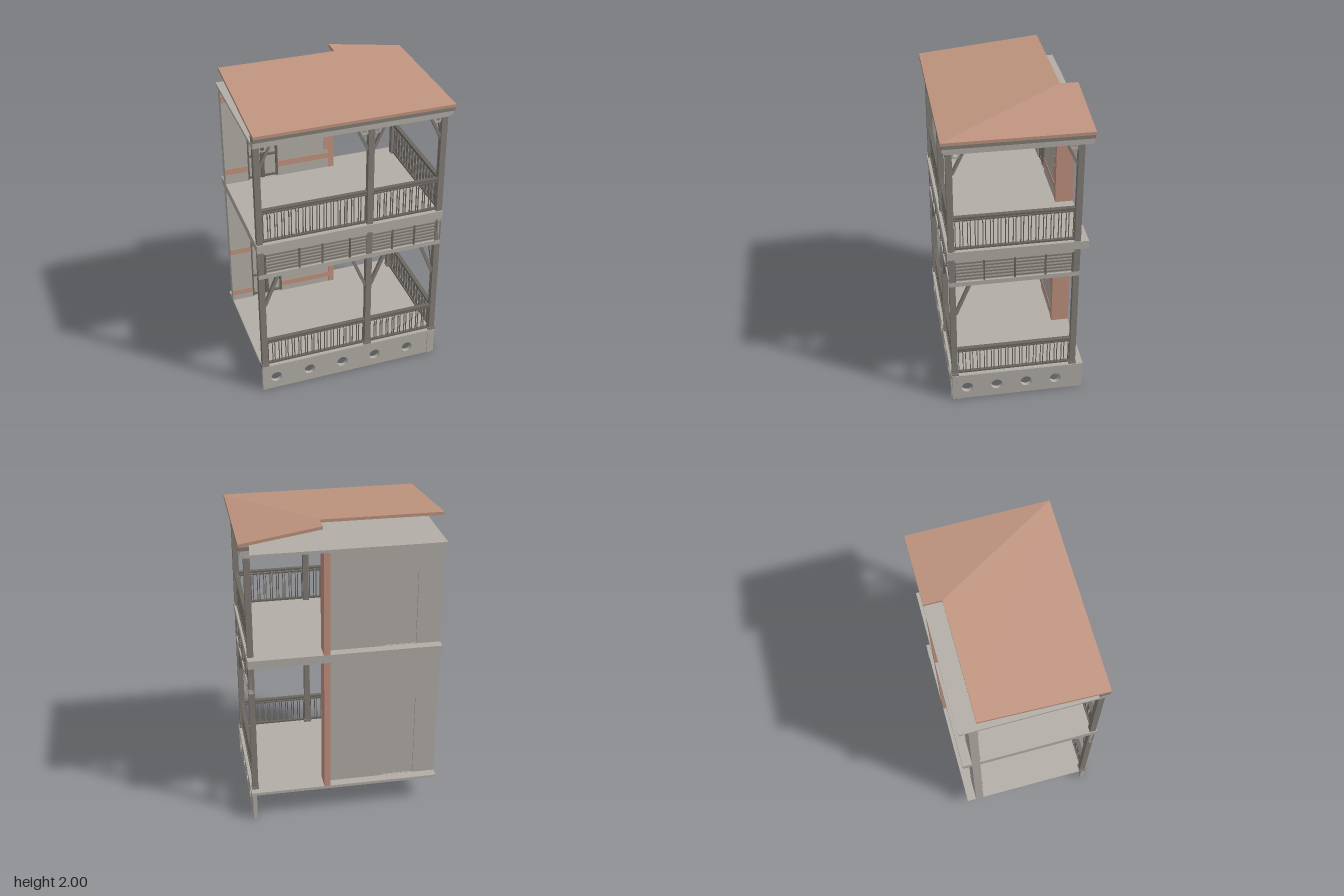
import * as THREE from 'three';

export function createModel() {
  const root = new THREE.Group();
  root.name = 'cornerPorch';
  const mat = (name, color, side = THREE.FrontSide) => {
    const m = new THREE.MeshStandardMaterial({ color, side });
    m.name = name;
    return m;
  };
  const stone = mat('stone', 0xb3aea7);
  const wood = mat('weatheredWood', 0x837d76);
  const dark = mat('railWood', 0x6c6760);
  const brick = mat('brick', 0xc29380);
  const tile = mat('roofTile', 0xbf947f, THREE.DoubleSide);

  const add = (parent, name, geo, m) => {
    const mesh = new THREE.Mesh(geo, m);
    mesh.name = name;
    parent.add(mesh);
    return mesh;
  };
  const box = (parent, name, m, x0, x1, y0, y1, z0, z1) => {
    const mesh = add(parent, name, new THREE.BoxGeometry(x1 - x0, y1 - y0, z1 - z0), m);
    mesh.position.set((x0 + x1) / 2, (y0 + y1) / 2, (z0 + z1) / 2);
    return mesh;
  };
  const rect = (s, x0, x1, y0, y1) =>
    s.moveTo(x0, y0).lineTo(x1, y0).lineTo(x1, y1).lineTo(x0, y1).closePath();
  const extrude = (shape, depth) =>
    new THREE.ExtrudeGeometry(shape, { depth, bevelEnabled: false, curveSegments: 12 });

  // Floors and ceiling
  box(root, 'groundFloor', stone, -0.625, 0.595, 0.178, 0.197, -0.445, 0.42);
  box(root, 'upperFloor', stone, -0.625, 0.595, 1.105, 1.16, -0.445, 0.425);
  box(root, 'ceiling', stone, -0.625, 0.59, 1.832, 1.85, -0.445, 0.42);

  // Diagonal strut between two points in the plane of a facade
  const strut = (parent, x0, y0, x1, y1, w) => {
    const s = box(parent, 'brace', wood, -w / 2, w / 2, 0, Math.hypot(x1 - x0, y1 - y0), -0.011, 0.011);
    s.position.set((x0 + x1) / 2, (y0 + y1) / 2, 0);
    s.rotation.z = -Math.atan2(x1 - x0, y1 - y0);
  };

  // Railing with arched pairs of balusters, h high above the floor y
  const archGeo = new THREE.TorusGeometry(1, 0.18, 4, 8, Math.PI);
  const railing = (parent, u0, u1, y, h) => {
    const g = new THREE.Group();
    g.name = 'railing';
    parent.add(g);
    box(g, 'handrail', dark, u0, u1, y + h - 0.013, y + h, -0.014, 0.014);
    box(g, 'upperRail', dark, u0, u1, y + h - 0.031, y + h - 0.023, -0.006, 0.006);
    box(g, 'lowerRail', dark, u0, u1, y + 0.008, y + 0.02, -0.009, 0.009);
    const n = Math.round((u1 - u0) / 0.045), pitch = (u1 - u0) / n, r = 0.0145, top = y + h - 0.046;
    for (let i = 0; i < n; i++) {
      const c = u0 + (i + 0.5) * pitch;
      for (const s of [-r, r])
        box(g, 'baluster', dark, c + s - 0.0026, c + s + 0.0026, y + 0.015, top, -0.003, 0.003);
      const arch = add(g, 'balusterArch', archGeo, dark);
      arch.scale.set(r, r, r);
      arch.position.set(c, top, 0);
    }
  };

  // One porch side: skirt, posts, railings, frieze and cornice along local x
  const facade = ({ name, posts, firstPost, u0, u1, out, holes, ribs, braces }) => {
    const g = new THREE.Group();
    g.name = name;
    root.add(g);

    const skirt = new THREE.Shape();
    rect(skirt, u0, u1, 0, 0.178);
    for (const h of holes) skirt.holes.push(new THREE.Path().absarc(h, 0.09, 0.037, 0, Math.PI * 2, true));
    add(g, 'skirt', extrude(skirt, 0.026), stone).position.z = out - 0.026;
    box(g, 'skirtTrim', stone, u0, u1, 0.172, 0.196, out - 0.02, out + 0.006);

    posts.forEach((p, i) => {
      if (i >= firstPost) {
        box(g, 'lowerPost', wood, p - 0.019, p + 0.019, 0.19, 1.105, -0.019, 0.019);
        box(g, 'upperPost', wood, p - 0.019, p + 0.019, 1.15, 1.84, -0.019, 0.019);
        box(g, 'postFoot', wood, p - 0.025, p + 0.025, 0.18, 0.212, -0.023, 0.023);
      }
      if (i + 1 < posts.length)
        for (const [y, h] of [[0.197, 0.208], [1.16, 0.238]])
          railing(g, p + 0.019, posts[i + 1] - 0.019, y, h);
    });
    for (const [p, dir, lower] of braces) {
      const e = p + dir * 0.018;
      if (lower) strut(g, e, 0.685, e + dir * 0.095, 0.915, 0.02);
      strut(g, e, 1.69, e + dir * 0.072, 1.84, 0.016);
      // Pierced fillet under the cornice
      const f = new THREE.Shape();
      f.moveTo(e, 1.834).lineTo(e + dir * 0.062, 1.834).lineTo(e + dir * 0.04, 1.79).lineTo(e, 1.79).closePath();
      f.holes.push(new THREE.Path().absarc(e + dir * 0.024, 1.812, 0.013, 0, Math.PI * 2, true));
      add(g, 'braceFillet', extrude(f, 0.008), stone).position.z = -0.004;
    }

    // Frieze with slats and ribs
    const a = posts[0] - 0.019, b = posts[posts.length - 1] + 0.019;
    box(g, 'friezePanel', stone, a, b, 0.925, 1.105, -0.008, 0.008);
    box(g, 'friezeBeam', stone, a, b, 0.905, 0.936, -0.018, 0.02);
    box(g, 'friezeTopBeam', stone, a, b, 1.085, 1.108, -0.014, 0.018);
    for (let i = 0; i < 6; i++) {
      const y = 0.952 + i * 0.0235;
      box(g, 'friezeSlat', wood, a, b, y - 0.0055, y + 0.0055, 0.006, 0.014);
    }
    for (const r of ribs) box(g, 'friezeRib', dark, r - 0.005, r + 0.005, 0.936, 1.085, 0.006, 0.019);

    // Stepped cornice with a darker gutter board
    [[1.832, 1.85, 0.005, stone], [1.85, 1.878, 0.018, stone], [1.878, 1.902, 0.026, wood]]
      .forEach(([y0, y1, d, m]) =>
        box(g, 'cornice', m, u0 < -0.5 ? u0 : u0 - d, u0 < -0.5 ? u1 + d : u1, y0, y1, out - 0.035, out + d));
    return g;
  };

  facade({
    name: 'frontSide', posts: [-0.602, 0.105, 0.572], firstPost: 0, u0: -0.625, u1: 0.595, out: 0.02,
    holes: [-0.53, -0.3, -0.07, 0.16, 0.395],
    ribs: [-0.575, -0.355, -0.205, -0.025, 0.105, 0.26, 0.41, 0.56],
    braces: [[-0.602, 1, 1], [0.105, -1, 1], [0.105, 1, 1], [0.572, -1, 1]],
  }).position.z = 0.398;

  const side = facade({
    name: 'rightSide', posts: [-0.398, 0.375], firstPost: 1, u0: -0.418, u1: 0.445, out: 0.023,
    holes: [-0.32, -0.125, 0.07, 0.265],
    ribs: [-0.38, -0.2, -0.01, 0.18, 0.35],
    braces: [[-0.398, 1, 1], [0.375, -1, 0]],
  });
  side.position.x = 0.572;
  side.rotation.y = Math.PI / 2;

  // Corner pier of the skirt, a narrow block on each face
  box(root, 'cornerPier', stone, 0.543, 0.573, 0, 0.175, 0.4, 0.424);
  box(root, 'cornerPier', stone, 0.58, 0.601, 0, 0.175, 0.365, 0.393);

  // Thin house wall with a door on each storey
  const storey = (y0, y1, door, transom, bands, teeth) => {
    const g = new THREE.Group();
    g.name = 'wallStorey';
    root.add(g);
    const [dx0, dx1, top] = door, mid = (dx0 + dx1) / 2, zf = -0.33;
    const wall = new THREE.Shape(), hole = new THREE.Path();
    rect(wall, -0.625, 0.086, y0, y1);
    rect(hole, dx0, dx1, y0 + 0.002, top);
    wall.holes.push(hole);
    add(g, 'wall', extrude(wall, 0.052), stone).position.z = -0.385;
    box(g, 'doorPanel', stone, dx0, dx1, y0, top, -0.376, -0.355);

    // Door frame, mullion and transom
    for (const x of [dx0 + 0.006, mid - 0.006, mid + 0.006, dx1 - 0.006])
      box(g, 'doorStile', dark, x - 0.006, x + 0.006, y0, top, -0.356, -0.338);
    for (const y of [y0 + 0.012, y0 + 0.17, transom, top - 0.006])
      box(g, 'doorRail', dark, dx0, dx1, y - 0.006, y + 0.006, -0.356, -0.34);
    box(g, 'lintel', brick, dx0 - 0.02, dx1 + 0.022, top - 0.003, top + 0.045, -0.34, -0.322);

    // Brick pier in line with the middle post, bands and toothed quoins
    box(g, 'brickPier', brick, 0.085, 0.125, y0, y1, -0.445, zf);
    for (const [b0, b1] of bands) {
      box(g, 'brickBand', brick, -0.625, dx0, b0, b1, -0.336, zf);
      box(g, 'brickBand', brick, dx1, 0.086, b0, b1, -0.336, zf);
      if (b0 > top) box(g, 'brickBand', brick, dx0, dx1, b0, b1, -0.336, zf);
    }
    for (const [t0, t1] of teeth) box(g, 'quoin', brick, 0.05, 0.086, t0, t1, -0.336, zf);
  };
  storey(0.197, 1.105, [-0.48, -0.265, 0.768], 0.628,
    [[0.24, 0.28], [0.588, 0.628]], [[0.46, 0.57], [0.82, 0.92]]);
  storey(1.16, 1.832, [-0.47, -0.265, 1.665], 1.54,
    [[1.23, 1.272], [1.757, 1.8]], [[1.3, 1.4], [1.41, 1.46], [1.55, 1.64]]);

  // Hipped roof: the outline shared by top, underside and edges
  const outline = [
    [-0.625, 2, -0.335], [-0.625, 1.921, 0.447], [0.625, 1.921, 0.447],
    [0.625, 1.921, -0.448], [0.13, 2, -0.448], [0.13, 2, -0.335],
  ];
  const pos = [];
  const tri = (...pts) => pts.forEach(([i, drop]) => {
    const [x, y, z] = outline[i];
    pos.push(x, y - drop, z);
  });
  const t = 0.019;
  for (const [a, b, c] of [[0, 1, 2], [0, 2, 5], [5, 2, 3], [5, 3, 4]]) {
    tri([a, 0], [b, 0], [c, 0]);
    tri([a, t], [c, t], [b, t]);
  }
  for (let i = 0; i < 6; i++) {
    const j = (i + 1) % 6;
    tri([i, 0], [i, t], [j, t]);
    tri([i, 0], [j, t], [j, 0]);
  }
  const roof = new THREE.BufferGeometry();
  roof.setAttribute('position', new THREE.Float32BufferAttribute(pos, 3));
  roof.computeVertexNormals();
  add(root, 'roof', roof, tile);

  return root;
}
